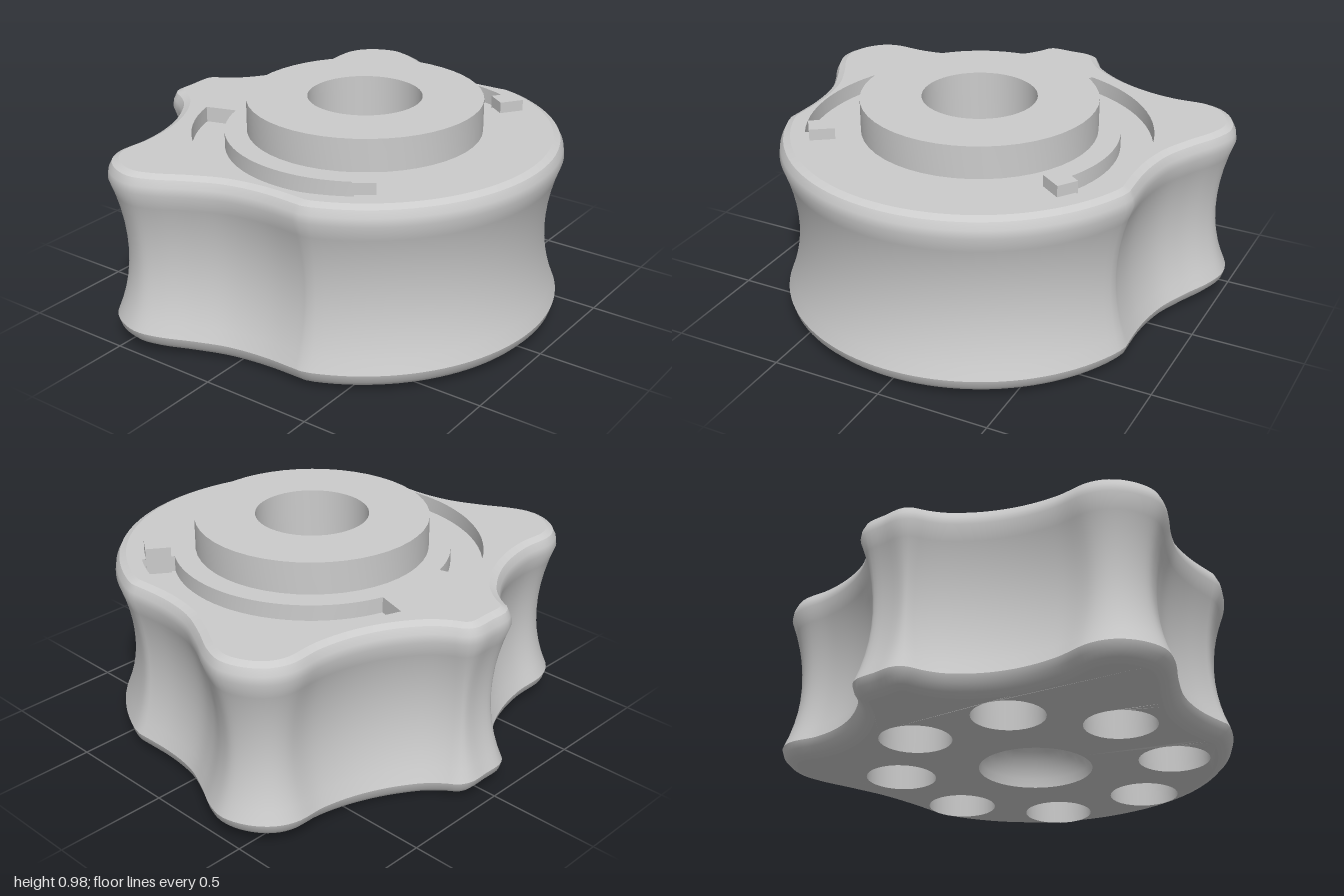
import * as THREE from 'three';
import { toCreasedNormals } from 'three/addons/utils/BufferGeometryUtils.js';

const CZ = 0.08; // z of the knob's axis
const TOP = 0.83;
const rad = THREE.MathUtils.degToRad;
const material = new THREE.MeshStandardMaterial({ color: 0xcccccc });

function mesh(geometry, name, crease = 0.6) {
  const m = new THREE.Mesh(crease ? toCreasedNormals(geometry, crease) : geometry, material);
  m.name = name;
  return m;
}

// Closed rings of equal length joined into a skin; rising rings face outward
function loft(rings) {
  const n = rings[0].length, index = [];
  for (let j = 0; j < rings.length - 1; j++) {
    for (let i = 0; i < n; i++) {
      const k = (i + 1) % n, a = j * n + i, b = j * n + k;
      index.push(a, a + n, b, b, a + n, b + n);
    }
  }
  const g = new THREE.BufferGeometry().setFromPoints(rings.flat());
  g.setIndex(index);
  g.computeVertexNormals();
  return g;
}

// Flat face from 2D (x, z) outlines
function face(outline, holes, y, up) {
  const shape = new THREE.Shape(outline);
  shape.holes = holes.map(h => new THREE.Path(h));
  const g = new THREE.ShapeGeometry(shape);
  g.rotateX(Math.PI / 2).translate(0, y, 0);
  if (up) {
    g.index.array.reverse();
    g.computeVertexNormals();
  }
  return g;
}

// Point at an angle from +x towards +z about the axis
const polar = (r, a) => new THREE.Vector2(r * Math.cos(a), CZ + r * Math.sin(a));

function circle(r, x = 0, z = CZ, n = 48) {
  return Array.from({ length: n }, (_, i) => {
    const a = i / n * Math.PI * 2;
    return new THREE.Vector2(x + r * Math.cos(a), z + r * Math.sin(a));
  });
}

const mirror = pts => pts.map(p => new THREE.Vector2(-p.x, p.y)).reverse();

// Plan outline: three lobes at the back, round front
function planOutline() {
  const side = new THREE.SplineCurve([
    [0, -0.95], [0.09, -0.95], [0.145, -0.92], [0.18, -0.86], [0.24, -0.79], [0.36, -0.71],
    [0.5, -0.655], [0.65, -0.63], [0.8, -0.635], [0.9, -0.595], [0.97, -0.51], [1, -0.4],
    [0.97, -0.29], [0.9, -0.16], [0.84, -0.02], [0.815, 0.15], [0.822, 0.345],
  ].map(p => new THREE.Vector2(...p)));
  const half = side.getSpacedPoints(72);
  const start = Math.atan2(0.345 - CZ, 0.822);
  for (let i = 1; i <= 24; i++) half.push(polar(0.868, start + (Math.PI / 2 - start) * i / 24));
  return [...half, ...mirror(half).slice(1, -1)];
}

// Move the outline inward along its normals
function inset(pts, d) {
  const n = pts.length;
  return pts.map((p, i) => {
    const t = pts[(i + 1) % n].clone().sub(pts[(i + n - 1) % n]).normalize();
    return new THREE.Vector2(p.x - t.y * d, p.y + t.x * d);
  });
}

// The underside rises slightly towards the rim
const lift = (x, z) => 0.12 * Math.max(0, Math.hypot(x, z) - 0.72);

export function createModel() {
  const model = new THREE.Group();
  const outline = planOutline();

  // Waisted side wall with rounded rims: [inset, height]
  const profile = [[0.07, 0], [0.035, 0.01], [0.01, 0.035]];
  for (let i = 0; i <= 10; i++) {
    const t = i / 5 - 1;
    profile.push([0.065 * (1 - t * t), 0.41 + 0.34 * t]);
  }
  profile.push([0.005, 0.785], [0.02, 0.815], [0.05, TOP]);
  model.add(mesh(loft(profile.map(([d, y]) => inset(outline, d).map(p =>
    new THREE.Vector3(p.x, y + lift(p.x, p.y) * Math.max(0, 1 - y / 0.4), p.y)))), 'bodySide'));

  // Curved slots in the top, each with a stop block at its front end
  const slot = [];
  for (let i = 0; i <= 24; i++) slot.push(polar(0.755, rad(-73 + 105 * i / 24)));
  for (let i = 24; i >= 0; i--) slot.push(polar(0.612, rad(-73 + 105 * i / 24)));
  const slots = [slot, mirror(slot)];
  slots.forEach((s, i) => {
    const name = i ? 'right' : 'left', sign = i ? -1 : 1, floor = TOP - 0.07;
    const ring = y => s.map(p => new THREE.Vector3(p.x, y, p.y));
    model.add(mesh(loft([ring(TOP), ring(floor)]), name + 'SlotWall'));
    model.add(mesh(face(s, [], floor, true), name + 'SlotFloor', 0));
    const block = mesh(new THREE.BoxGeometry(0.11, 0.12, 0.095), name + 'StopBlock', 0);
    const c = polar(0.682, rad(35));
    block.position.set(sign * c.x, 0.82, c.y);
    block.rotation.y = -sign * rad(35);
    model.add(block);
  });
  model.add(mesh(face(inset(outline, 0.05), [circle(0.515), ...slots], TOP, true), 'topFace', 0));

  // Raised collar, stepped bore and domed recess underneath
  const bore = [[0.515, TOP], [0.515, 0.975], [0.25, 0.975], [0.25, 0.5], [0.062, 0.5]];
  for (let i = 0; i <= 8; i++) {
    const a = rad(75.6 * (1 - i / 8));
    bore.push([0.25 * Math.cos(a), 0.25 * Math.sin(a)]);
  }
  const collar = mesh(new THREE.LatheGeometry(bore.map(p => new THREE.Vector2(...p)), 48), 'collarAndBore');
  collar.position.z = CZ;
  model.add(collar);

  // Eight blind holes around the underside
  const holes = [circle(0.25)];
  const pocket = [[0, 0.5], [0.155, 0.5], [0.155, 0]].map(p => new THREE.Vector2(...p));
  for (let i = 0; i < 8; i++) {
    const c = polar(0.61, rad(-72.5 + 45 * i));
    holes.push(circle(0.155, c.x, c.y, 32));
    const hole = mesh(new THREE.LatheGeometry(pocket, 32), 'bottomHole');
    hole.position.set(c.x, 0, c.y);
    model.add(hole);
  }
  const bottom = face(inset(outline, 0.07), holes, 0, false);
  const pos = bottom.attributes.position;
  const rimCount = outline.length; // only the rim is lifted, hole edges stay flat
  for (let i = 0; i < rimCount; i++) pos.setY(i, lift(pos.getX(i), pos.getZ(i)));
  bottom.computeVertexNormals();
  model.add(mesh(bottom, 'bottomFace'));

  return model;
}
